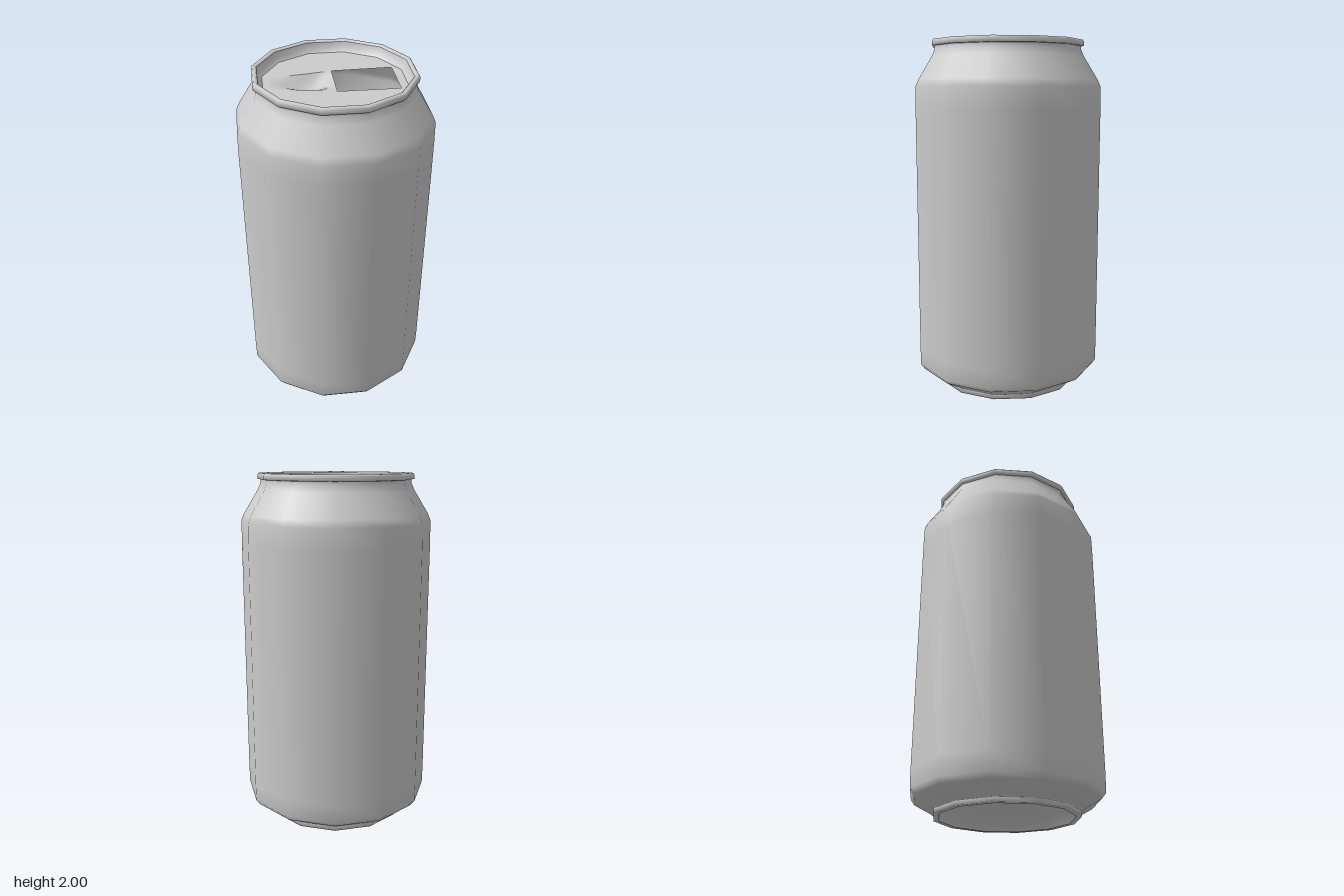
import * as THREE from 'three';

const SIDES = 12;
const TURN = -THREE.MathUtils.degToRad(4);
const LID_Y = 1.94;
const LID_R = 0.385;

export function createModel() {
  const can = new THREE.Group();
  can.name = 'drinkCan';
  const material = new THREE.MeshStandardMaterial({ color: 0xcccccc, side: THREE.DoubleSide });

  const add = (name, geometry) => {
    const mesh = new THREE.Mesh(geometry, material);
    mesh.name = name;
    can.add(mesh);
    return mesh;
  };
  const turned = (name, profile) => add(name, new THREE.LatheGeometry(
    profile.map(([r, y]) => new THREE.Vector2(r, y)), SIDES, TURN));

  // Hollow dome under the can, and the foot ring it stands on
  turned('bottomDome', [[0, 0.2], [0.13, 0.18], [0.25, 0.13], [0.34, 0.05], [0.375, 0]]);
  turned('footRing', [[0.375, 0], [0.405, 0], [0.405, 0.025]]);

  // Smooth outer wall with bevelled base and sloping shoulder
  turned('body', [[0.405, 0.025], [0.425, 0.04], [0.515, 0.09], [0.538, 0.12], [0.54, 0.22],
    [0.54, 1.62], [0.538, 1.74], [0.52, 1.78], [0.44, 1.91], [0.425, 1.945], [0.425, 1.965]]);

  // Rolled rim and the bevel falling to the lid
  turned('rim', [[0.425, 1.965], [0.44, 1.967], [0.44, 1.99], [0.433, 2], [0.418, 2], [0.411, 1.992]]);
  turned('lidBevel', [[0.411, 1.992], [0.405, 1.96], [LID_R, LID_Y]]);

  // Flat lid, cut through for the mouth and the finger recess (corners are x, z)
  const recess = { farBack: [-0.29, -0.18], farFront: [-0.335, -0.04], nearBack: [0.04, -0.12], nearFront: [-0.04, 0.115] };
  const mouthBack = [0.35, -0.02], mouthFront = [0.27, 0.225];
  const flat = ([x, z]) => new THREE.Vector2(x, -z);
  const outline = Array.from({ length: SIDES }, (_, i) => {
    const a = TURN + (i / SIDES) * Math.PI * 2;
    return flat([LID_R * Math.sin(a), LID_R * Math.cos(a)]);
  });
  const shape = new THREE.Shape(outline);
  shape.holes.push(new THREE.Path([recess.farBack, recess.nearBack, mouthBack, mouthFront,
    recess.nearFront, recess.farFront].map(flat)));
  add('lid', new THREE.ShapeGeometry(shape).rotateX(-Math.PI / 2).translate(0, LID_Y, 0));

  // Shallow finger recess, deepest towards the mouth and the back edge
  const floor = new THREE.PlaneGeometry(1, 1, 10, 8);
  const pos = floor.attributes.position, uv = floor.attributes.uv;
  const mix = THREE.MathUtils.lerp;
  for (let i = 0; i < pos.count; i++) {
    const u = uv.getX(i), v = uv.getY(i);
    const point = [0, 1].map(k => mix(
      mix(recess.farFront[k], recess.farBack[k], v),
      mix(recess.nearFront[k], recess.nearBack[k], v), u));
    const depth = 0.06 * Math.sin(Math.PI * u ** 1.5) * Math.sin(Math.PI * v ** 1.5);
    pos.setXYZ(i, point[0], LID_Y - depth, point[1]);
  }
  floor.computeVertexNormals();
  add('fingerRecess', floor);

  return can;
}
